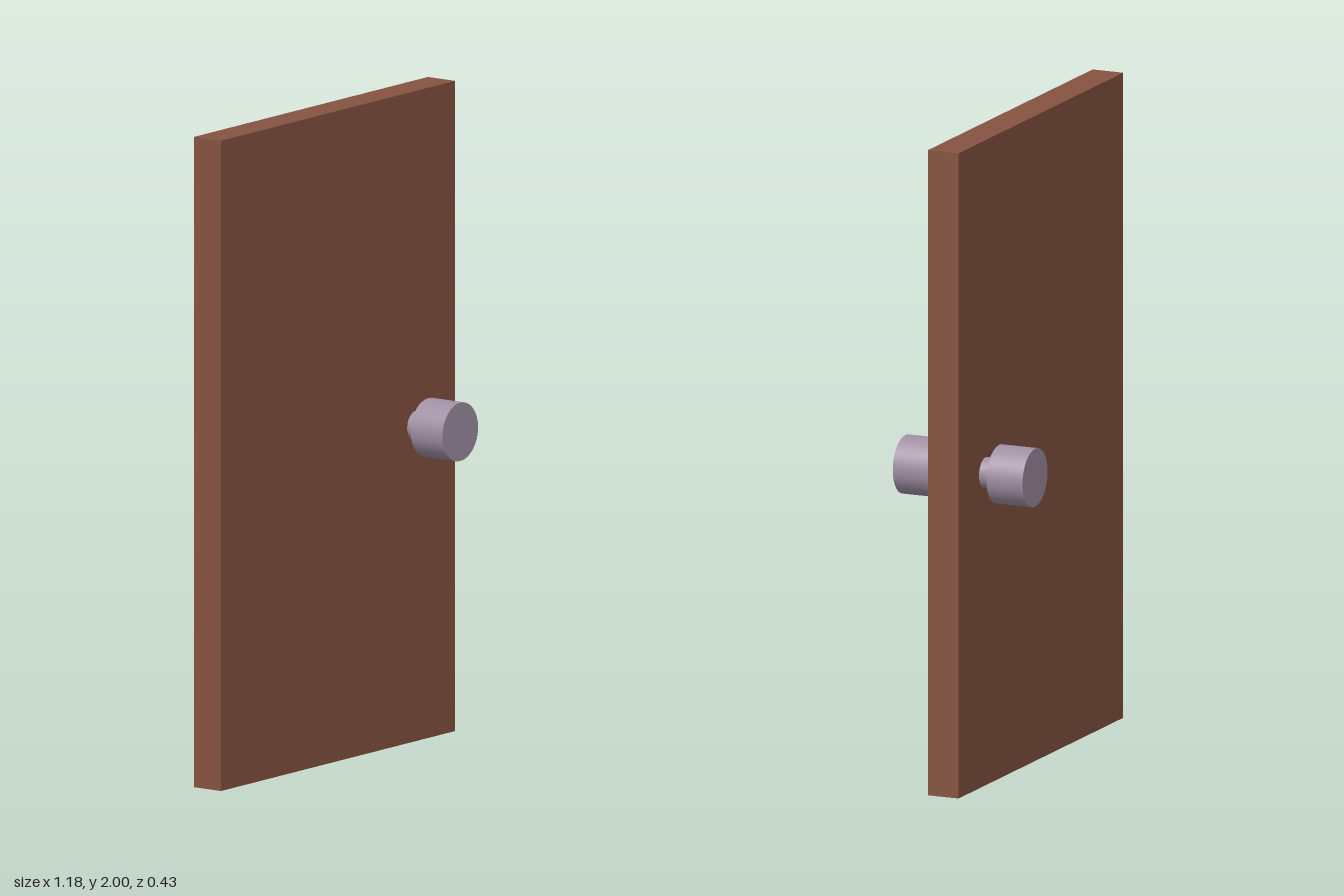
import * as THREE from 'three';

export function createModel() {
  const model = new THREE.Group();
  model.name = 'door';

  const wood = new THREE.MeshStandardMaterial({ color: 0x855341 });
  wood.name = 'brown wood';
  const metal = new THREE.MeshStandardMaterial({ color: 0xa08fa3 });
  metal.name = 'mauve metal';

  // Door slab
  const slab = new THREE.Mesh(new THREE.BoxGeometry(1.18, 2, 0.102), wood);
  slab.name = 'doorPanel';
  slab.position.y = 1;
  model.add(slab);

  // Solid cylinder lying along z, between two depths
  const zCylinder = (name, radius, z0, z1) => {
    const geometry = new THREE.CylinderGeometry(radius, radius, z1 - z0, 32);
    geometry.rotateX(Math.PI / 2);
    const mesh = new THREE.Mesh(geometry, metal);
    mesh.name = name;
    mesh.position.z = (z0 + z1) / 2;
    return mesh;
  };

  // A neck and a knob on each side of the door
  for (const [name, turn] of [['frontHandle', 0], ['backHandle', Math.PI]]) {
    const handle = new THREE.Group();
    handle.name = name;
    handle.add(zCylinder('neck', 0.047, 0.04, 0.1), zCylinder('knob', 0.09, 0.096, 0.216));
    handle.position.set(0.396, 0.97, 0);
    handle.rotation.y = turn;
    model.add(handle);
  }

  return model;
}
